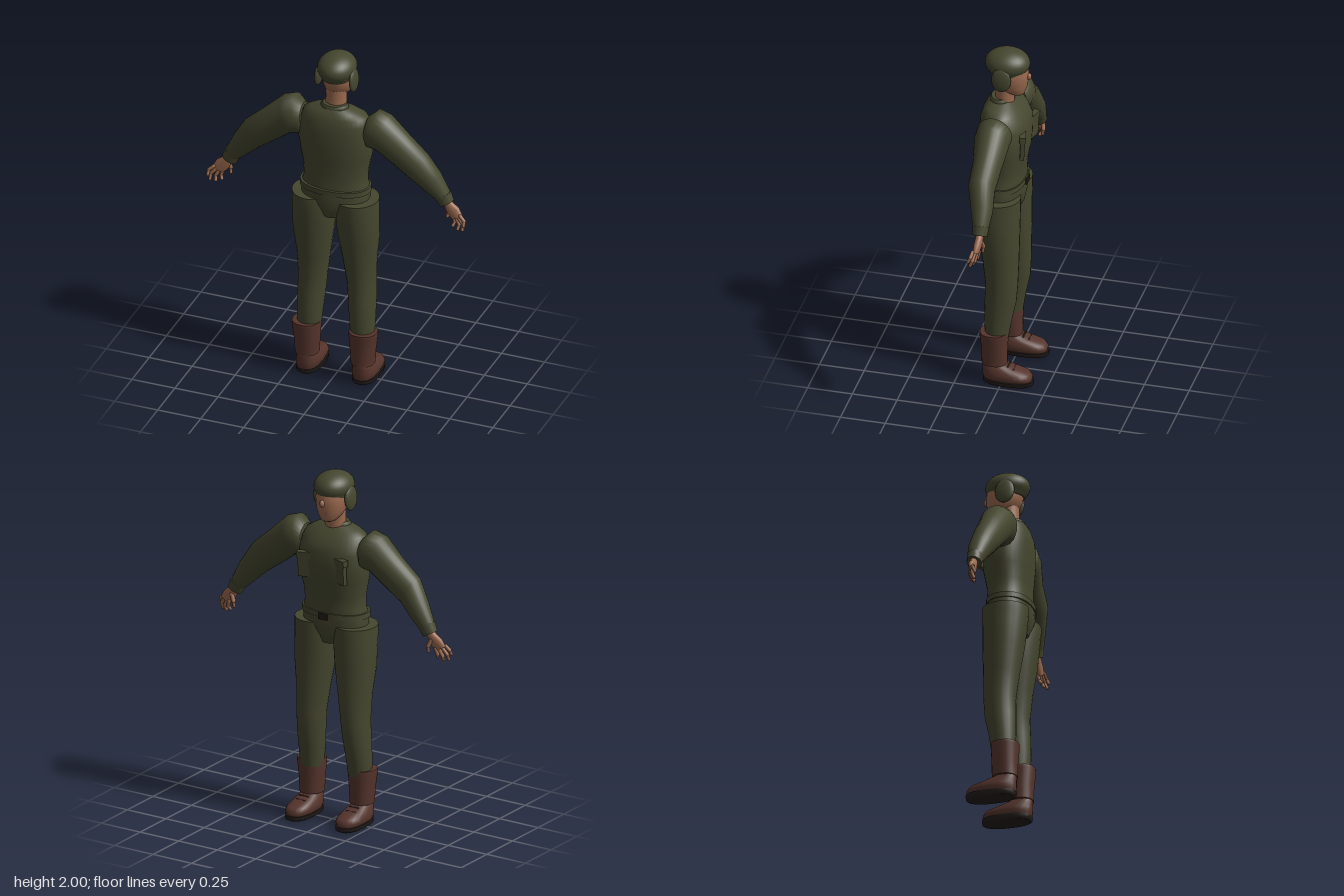
import * as THREE from 'three';
import { mergeGeometries } from 'three/addons/utils/BufferGeometryUtils.js';

const mat = (name, color) => {
  const m = new THREE.MeshStandardMaterial({ color });
  m.name = name;
  return m;
};

// Skin over elliptical rings [x, y, z, rx, rz, tiltDegrees], flat end caps; p < 1 squares the ellipse
function loft(rings, p = 1, n = 24) {
  const pos = [], idx = [];
  const bend = (v) => Math.sign(v) * Math.abs(v) ** p;
  const addRing = ([x, y, z, a, b, tilt = 0]) => {
    const t = THREE.MathUtils.degToRad(tilt);
    for (let j = 0; j < n; j++) {
      const w = (j / n) * Math.PI * 2, c = bend(Math.cos(w)) * a, s = bend(Math.sin(w)) * b;
      pos.push(x + c * Math.cos(t), y + c * Math.sin(t), z + s);
    }
  };
  rings.forEach(addRing);
  for (let i = 0; i < rings.length - 1; i++) for (let j = 0; j < n; j++) {
    const a = i * n + j, b = i * n + (j + 1) % n;
    idx.push(a, a + n, b, b, a + n, b + n);
  }
  [rings[0], rings[rings.length - 1]].forEach((r, end) => {
    const base = pos.length / 3;
    addRing(r);
    pos.push(r[0], r[1], r[2]);
    for (let j = 0; j < n; j++) {
      const a = base + j, b = base + (j + 1) % n;
      idx.push(base + n, ...(end ? [b, a] : [a, b]));
    }
  });
  const g = new THREE.BufferGeometry();
  g.setAttribute('position', new THREE.Float32BufferAttribute(pos, 3));
  g.setIndex(idx);
  g.computeVertexNormals();
  return g;
}

// Rounded bar between two points
function bone(a, b, r) {
  const A = new THREE.Vector3(...a), B = new THREE.Vector3(...b), d = B.clone().sub(A);
  const g = new THREE.CapsuleGeometry(r, d.length(), 4, 10);
  g.applyQuaternion(new THREE.Quaternion().setFromUnitVectors(new THREE.Vector3(0, 1, 0), d.normalize()));
  return g.translate(...A.add(B).multiplyScalar(0.5).toArray());
}

// Mirror across x = 0, keeping faces outward
function mirrored(geo) {
  const g = geo.clone().scale(-1, 1, 1), ix = g.index.array;
  for (let i = 0; i < ix.length; i += 3) [ix[i], ix[i + 1]] = [ix[i + 1], ix[i]];
  g.computeVertexNormals();
  return g;
}

export function createModel() {
  const root = new THREE.Group();
  root.name = 'uniformedFigure';
  const cloth = mat('olive cloth', 0x45472f);
  const skin = mat('skin', 0x9a694e);
  const leather = mat('brown leather', 0x55342c);
  const dark = mat('dark rubber', 0x241e1b);

  const add = (name, geo, m) => {
    const mesh = new THREE.Mesh(geo, m);
    mesh.name = name;
    root.add(mesh);
  };
  const pair = (name, geo, m) => {
    add(name + 'Left', geo, m);
    add(name + 'Right', mirrored(geo), m);
  };

  // Jacket, belt and seat
  add('jacket', loft([
    [0, 1.13, 0.035, 0.192, 0.118], [0, 1.19, 0.032, 0.195, 0.12], [0, 1.24, 0.03, 0.18, 0.116],
    [0, 1.31, 0.028, 0.182, 0.118], [0, 1.4, 0.023, 0.2, 0.13], [0, 1.48, 0.022, 0.213, 0.136],
    [0, 1.56, 0.023, 0.205, 0.135], [0, 1.61, 0.03, 0.195, 0.122], [0, 1.65, 0.04, 0.18, 0.1],
    [0, 1.675, 0.047, 0.135, 0.08], [0, 1.695, 0.05, 0.08, 0.06],
  ], 0.9, 36), cloth);
  add('collar', loft([[0, 1.67, 0.048, 0.084, 0.064], [0, 1.7, 0.05, 0.078, 0.061], [0, 1.712, 0.048, 0.068, 0.055]]), cloth);
  add('belt', loft([[0, 1.185, 0.035, 0.201, 0.128], [0, 1.215, 0.035, 0.199, 0.128]], 0.9, 36), cloth);
  add('buckle', new THREE.BoxGeometry(0.055, 0.036, 0.009).translate(0, 1.195, -0.097), dark);
  add('seat', loft([
    [0, 1.03, 0.035, 0.068, 0.095], [0, 1.07, 0.035, 0.08, 0.115],
    [0, 1.13, 0.036, 0.15, 0.127], [0, 1.19, 0.035, 0.192, 0.122],
  ]), cloth);

  // Chest pockets with flaps
  const pocket = (w, h, d, y, z) => new THREE.BoxGeometry(w, h, d).rotateX(-0.05).rotateY(0.27).translate(0.105, y, z);
  pair('chestPocket', pocket(0.095, 0.12, 0.024, 1.465, -0.095).rotateY(-0.54 + 0.54), cloth);
  pair('pocketFlap', pocket(0.108, 0.035, 0.034, 1.53, -0.096), cloth);

  // Head, neck and cap
  add('neck', loft([[0, 1.66, 0.032, 0.062, 0.054], [0, 1.73, 0.028, 0.058, 0.052], [0, 1.8, 0.025, 0.06, 0.054]]), skin);
  add('head', loft([
    [0, 1.732, -0.045, 0.025, 0.022], [0, 1.74, -0.04, 0.042, 0.04], [0, 1.76, -0.025, 0.06, 0.062],
    [0, 1.79, -0.01, 0.076, 0.086], [0, 1.83, -0.004, 0.085, 0.098], [0, 1.87, 0, 0.088, 0.103],
    [0, 1.92, 0.005, 0.08, 0.095],
  ]), skin);
  add('nose', new THREE.SphereGeometry(1, 12, 10).scale(0.014, 0.021, 0.018).translate(0, 1.846, -0.102), skin);
  const dome = [[0, 1.858, 0.008, 0.088, 0.1]];
  for (let i = 0; i <= 12; i++) {
    const a = -0.5 + (i / 12) * 2.05, r = Math.cos(a);
    dome.push([0, 1.92 + 0.08 * Math.sin(a), 0.015, 0.106 * r, 0.124 * r]);
  }
  add('cap', loft(dome, 1, 32), cloth);
  pair('earFlap', new THREE.SphereGeometry(1, 20, 14).scale(0.02, 0.07, 0.055).rotateZ(0.06).translate(0.101, 1.86, 0.025), cloth);

  // Sleeves and cuffs
  pair('sleeve', loft([
    [0.185, 1.585, 0.03, 0.07, 0.07, -95], [0.217, 1.59, 0.03, 0.114, 0.098, -103],
    [0.28, 1.573, 0.03, 0.11, 0.096, -106], [0.38, 1.488, 0.028, 0.096, 0.08, -115],
    [0.485, 1.405, 0.032, 0.087, 0.074, -121], [0.555, 1.315, 0.012, 0.067, 0.062, -132],
    [0.618, 1.225, 0.002, 0.044, 0.042, -148],
  ]), cloth);
  pair('cuff', loft([[0.61, 1.242, 0.002, 0.049, 0.045, -150], [0.632, 1.196, 0.002, 0.044, 0.04, -152]]), cloth);

  // Hands
  const fingers = [
    [[0.718, 1.137], [0.742, 1.115], [0.744, 1.09]],
    [[0.705, 1.122], [0.732, 1.09], [0.734, 1.06]],
    [[0.688, 1.115], [0.708, 1.078], [0.704, 1.055]],
    [[0.67, 1.118], [0.68, 1.085], [0.672, 1.066]],
  ].flatMap(([a, b, c], i) => {
    const z = 0.02 - i * 0.008;
    return [bone([...a, z], [...b, z + 0.006], 0.0105), bone([...b, z + 0.006], [...c, z + 0.018], 0.009)];
  });
  const thumb = [bone([0.648, 1.165, -0.01], [0.632, 1.13, -0.018], 0.012), bone([0.632, 1.13, -0.018], [0.63, 1.1, -0.014], 0.009)];
  pair('palm', loft([
    [0.625, 1.215, 0.002, 0.026, 0.02, -148], [0.645, 1.185, 0.002, 0.028, 0.021, -148],
    [0.67, 1.155, 0.004, 0.04, 0.022, -148], [0.696, 1.12, 0.008, 0.035, 0.016, -152],
  ], 1, 16), skin);
  pair('fingers', mergeGeometries([...fingers, ...thumb]), skin);

  // Trouser legs
  pair('trouserLeg', loft([
    [0.155, 0.28, 0.033, 0.066, 0.064], [0.152, 0.38, 0.028, 0.072, 0.075], [0.147, 0.5, 0.015, 0.077, 0.087],
    [0.142, 0.6, 0.01, 0.08, 0.089], [0.134, 0.75, 0.017, 0.093, 0.1], [0.131, 0.9, 0.028, 0.114, 0.114],
    [0.126, 1.02, 0.034, 0.12, 0.122], [0.125, 1.1, 0.037, 0.121, 0.127], [0.124, 1.14, 0.037, 0.122, 0.127],
  ]), cloth);

  // Boots
  pair('bootShaft', loft([
    [0.162, 0.12, 0.044, 0.065, 0.07], [0.162, 0.2, 0.044, 0.07, 0.071], [0.165, 0.3, 0.047, 0.08, 0.077],
    [0.165, 0.315, 0.047, 0.078, 0.076],
  ], 0.9), leather);
  pair('shoe', loft([
    [0.163, 0.028, -0.03, 0.063, 0.133], [0.163, 0.05, -0.03, 0.072, 0.138], [0.163, 0.072, -0.022, 0.069, 0.131],
    [0.163, 0.095, 0.015, 0.06, 0.094], [0.163, 0.118, 0.045, 0.05, 0.064], [0.163, 0.128, 0.05, 0.042, 0.055],
  ], 0.8), leather);
  pair('sole', loft([
    [0.163, 0, -0.03, 0.056, 0.125], [0.163, 0.008, -0.033, 0.07, 0.139], [0.163, 0.03, -0.033, 0.072, 0.14],
  ], 0.8), dark);
  const laces = [0, 1, 2].map((i) => {
    const y = 0.109 - i * 0.014, z = -0.035 - i * 0.032;
    return bone([0.137, y, z], [0.189, y, z], 0.005);
  });
  pair('laces', mergeGeometries(laces), dark);

  return root;
}
